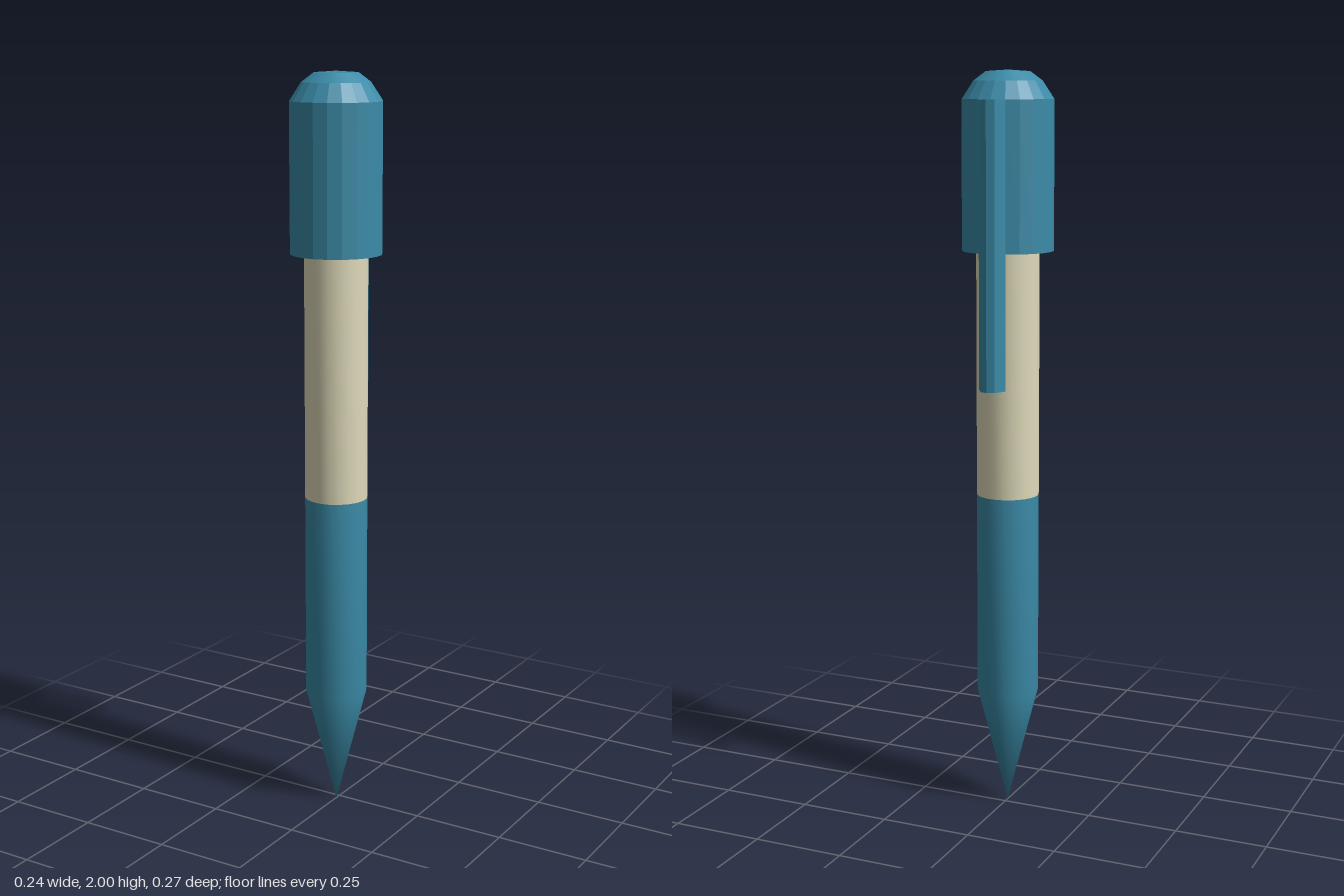
import * as THREE from 'three';
import { mergeVertices, toCreasedNormals } from 'three/addons/utils/BufferGeometryUtils.js';

const SIDES = 20;
const AXIS_Z = 0.016; // the barrel sits slightly forward to balance the clip

// Revolved profile of [radius, y] pairs, listed from bottom to top on the outside
function revolve(profile) {
  const points = profile.map(([r, y]) => new THREE.Vector2(r, y));
  return new THREE.LatheGeometry(points, SIDES);
}

// Shares vertices so that the normals blend over the whole surface
function smooth(geometry) {
  geometry.deleteAttribute('uv');
  geometry.deleteAttribute('normal');
  const merged = mergeVertices(geometry, 1e-4);
  merged.computeVertexNormals();
  return merged;
}

export function createModel() {
  const teal = new THREE.MeshStandardMaterial({ color: 0x3b8ba8 });
  teal.name = 'teal';
  const cream = new THREE.MeshStandardMaterial({ color: 0xdfdaba });
  cream.name = 'cream';

  const group = new THREE.Group();
  group.name = 'pen';
  const add = (name, geometry, material, z = AXIS_Z) => {
    const mesh = new THREE.Mesh(geometry, material);
    mesh.name = name;
    mesh.position.z = z;
    group.add(mesh);
  };

  // Lower barrel tapering to the writing point
  add('lowerBarrelAndTip', smooth(revolve([[0, 0], [0.084, 0.33], [0.084, 0.88]])), teal);

  // Upper barrel, running up inside the cap
  add('upperBarrel', smooth(revolve([[0.084, 0.88], [0.084, 1.88]])), cream);

  // Hollow cap with a rim, straight wall and faceted dome
  const cap = revolve([
    [0, 1.88], [0.113, 1.88], [0.113, 1.535], [0.121, 1.535],
    [0.121, 1.925], [0.09, 1.972], [0.058, 1.996], [0, 2],
  ]);
  cap.rotateY(0.04);
  add('cap', toCreasedNormals(cap, 0.2), teal);

  // Pocket clip: a rounded strip hanging down the back; shape y becomes -z
  const clipOutline = new THREE.Shape([
    [-0.044, 0.098], [0.03, 0.102], [0.01, 0.134], [-0.007, 0.138], [-0.028, 0.132],
  ].map(([x, y]) => new THREE.Vector2(x, y)));
  const clip = new THREE.ExtrudeGeometry(clipOutline, { depth: 0.745, bevelEnabled: false });
  clip.rotateX(-Math.PI / 2);
  clip.translate(0, 1.18, 0);
  add('clip', clip, teal, 0);

  return group;
}
